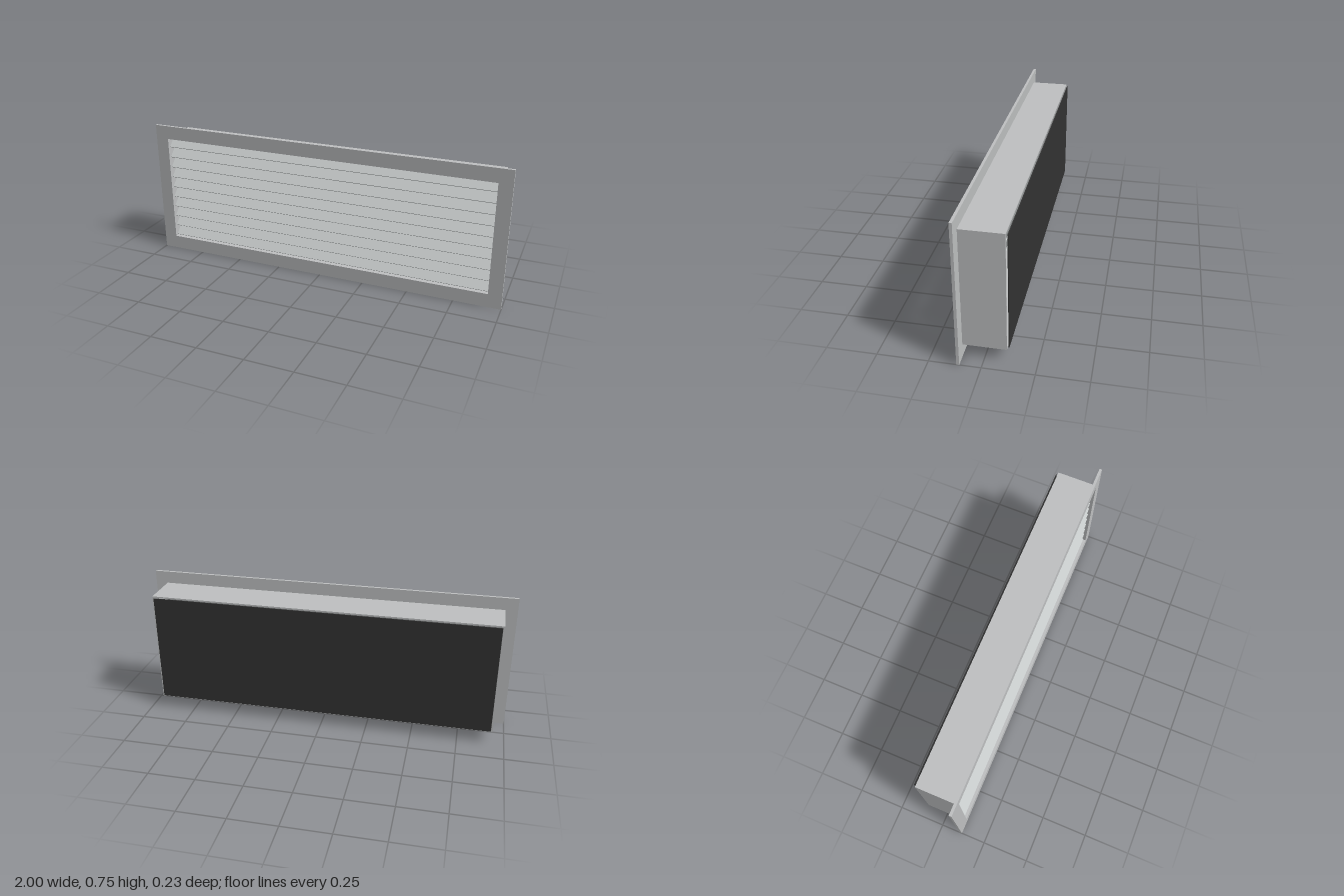
import * as THREE from 'three';

const frameMat = new THREE.MeshStandardMaterial({ name: 'grey metal', color: 0xbfc1c2 });
const slatMat = new THREE.MeshStandardMaterial({ name: 'slat metal', color: 0xc4c8c8 });
const meshMat = new THREE.MeshStandardMaterial({ name: 'dark backing', color: 0x333333 });

const rect = (C, x, y0, y1) => {
  const r = new C();
  r.moveTo(-x, y0);
  r.lineTo(x, y0);
  r.lineTo(x, y1);
  r.lineTo(-x, y1);
  r.closePath();
  return r;
};

// Rectangular ring extruded from z0 to z1; outer and inner are [halfWidth, bottom, top]
function ring(name, outer, inner, z0, z1) {
  const shape = rect(THREE.Shape, ...outer);
  shape.holes.push(rect(THREE.Path, ...inner));
  const geo = new THREE.ExtrudeGeometry(shape, { depth: z1 - z0, bevelEnabled: false });
  geo.translate(0, 0, z0);
  const mesh = new THREE.Mesh(geo, frameMat);
  mesh.name = name;
  return mesh;
}

export function createModel() {
  const model = new THREE.Group();
  model.name = 'ventGrille';
  const opening = [0.927, 0.075, 0.677];

  // Flat front flange and hollow duct collar behind it
  model.add(ring('frontFrame', [1, 0, 0.752], opening, 0.103, 0.117));
  model.add(ring('ductCollar', [0.935, 0.067, 0.685], opening, -0.107, 0.103));

  // Ten slats, front edges tilted down
  const slats = new THREE.Group();
  slats.name = 'slats';
  const slatGeo = new THREE.BoxGeometry(1.854, 0.006, 0.07);
  for (let i = 0; i < 10; i++) {
    const slat = new THREE.Mesh(slatGeo, slatMat);
    slat.name = 'slat' + (i + 1);
    slat.position.set(0, 0.65 - i * 0.0605, 0.075);
    slat.rotation.x = Math.PI / 4;
    slats.add(slat);
  }
  model.add(slats);

  // Dark sheet just behind the duct
  const back = new THREE.Mesh(new THREE.BoxGeometry(1.85, 0.602, 0.004), meshMat);
  back.name = 'backPanel';
  back.position.set(0, 0.376, -0.115);
  model.add(back);

  return model;
}
